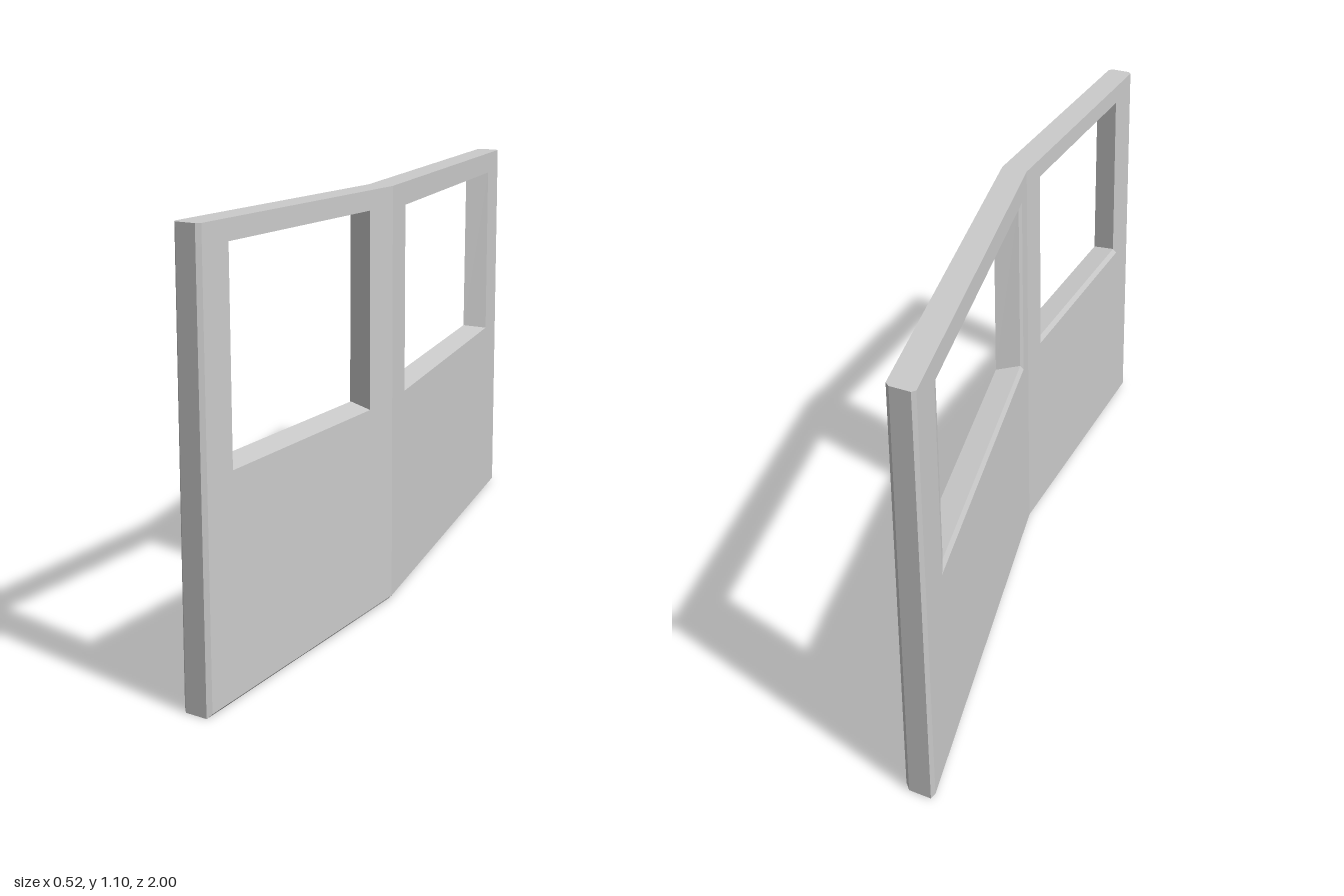
import * as THREE from 'three';

// Stations along the wall (front to back) on the outer (+x) and inner (-x) faces
const STATIONS = [
  [0.99, 0.89, 0.26, 0.14, 0.03, -0.865, -0.99],
  [0.99, 0.89, 0.235, 0.14, 0.075, -0.853, -0.99],
];
const OUTER = 0, INNER = 1, LAST = 6;
const BEND = 0.14, HEIGHT = 1.1, BEVEL = 0.01;
const WINDOWS = [1, 4]; // columns that hold an opening

// Plan of the bent wall: x for a given z, with a very slight lean of the inner face
function wallX(side, z, y) {
  const x = z > BEND ? 0.09 + (z - BEND) * 0.105 : 0.09 + (z - BEND) * 0.307;
  return side === OUTER ? x + 0.08 : x + 0.006 * y;
}

function rowY(side, i, j) {
  const top = i < 4 ? 1.05 : 1.04;
  return [BEVEL, side === OUTER ? 0.545 : 0.54, top, HEIGHT][j];
}

function facePoint(side, i, j) {
  const z = STATIONS[side][i], y = rowY(side, i, j);
  return [wallX(side, z, y), y, z];
}

// Bevelled rim point, pushed outwards from the edge of a face
function rimPoint(side, i, j) {
  const p = facePoint(side, i, j);
  if (i === 0) p[2] += BEVEL;
  if (i === LAST) p[2] -= BEVEL;
  if (j === 0) p[1] -= BEVEL;
  p[0] = wallX(side, p[2], p[1]) + (side === OUTER ? -BEVEL : BEVEL);
  return p;
}

// Lip inside an opening, just behind the inner face
function lipPoint(i, j) {
  const p = facePoint(INNER, i, j);
  p[1] += j === 1 ? 0.015 : -0.005;
  p[2] += i === 5 ? 0.035 : i === 2 ? 0.01 : -0.01;
  p[0] = wallX(INNER, p[2], p[1]) + 0.008;
  return p;
}

export function createModel() {
  const group = new THREE.Group();
  const material = new THREE.MeshStandardMaterial({ color: 0xcccccc, flatShading: true });

  function addPart(name, build) {
    const verts = [];
    const quad = (a, b, c, d) => verts.push(...a, ...b, ...c, ...a, ...c, ...d);
    build(quad);
    const geo = new THREE.BufferGeometry();
    geo.setAttribute('position', new THREE.Float32BufferAttribute(verts, 3));
    geo.computeVertexNormals();
    const mesh = new THREE.Mesh(geo, material);
    mesh.name = name;
    group.add(mesh);
  }

  // Join successive closed rings, running from the outer to the inner face
  function joinRings(quad, rings) {
    for (let r = 0; r + 1 < rings.length; r++) {
      const a = rings[r], b = rings[r + 1];
      a.forEach((p, k) => {
        const n = (k + 1) % a.length;
        quad(p, b[k], b[n], a[n]);
      });
    }
  }

  // Both faces, leaving the window cells open
  for (const side of [OUTER, INNER]) {
    addPart(side === OUTER ? 'outerFace' : 'innerFace', quad => {
      for (let i = 0; i < LAST; i++) for (let j = 0; j < 3; j++) {
        if (j === 1 && WINDOWS.includes(i)) continue;
        const c = [[i, j], [i + 1, j], [i + 1, j + 1], [i, j + 1]].map(([u, v]) => facePoint(side, u, v));
        if (side === INNER) c.reverse();
        quad(...c);
      }
    });
  }

  // Top, bottom and ends of the wall
  addPart('wallEdge', quad => {
    const loop = [];
    for (let i = 0; i <= LAST; i++) loop.push([i, 0]);
    loop.push([LAST, 1], [LAST, 2]);
    for (let i = LAST; i >= 0; i--) loop.push([i, 3]);
    loop.push([0, 2], [0, 1]);
    joinRings(quad, [
      loop.map(([i, j]) => facePoint(OUTER, i, j)),
      loop.map(([i, j]) => rimPoint(OUTER, i, j)),
      loop.map(([i, j]) => rimPoint(INNER, i, j)),
      loop.map(([i, j]) => facePoint(INNER, i, j)),
    ]);
  });

  // Window jambs, sills and heads
  WINDOWS.forEach((i, n) => {
    addPart(n === 0 ? 'frontWindowReveal' : 'backWindowReveal', quad => {
      const loop = [[i, 2], [i + 1, 2], [i + 1, 1], [i, 1]];
      joinRings(quad, [
        loop.map(([u, v]) => facePoint(OUTER, u, v)),
        loop.map(([u, v]) => lipPoint(u, v)),
        loop.map(([u, v]) => facePoint(INNER, u, v)),
      ]);
    });
  });

  return group;
}
